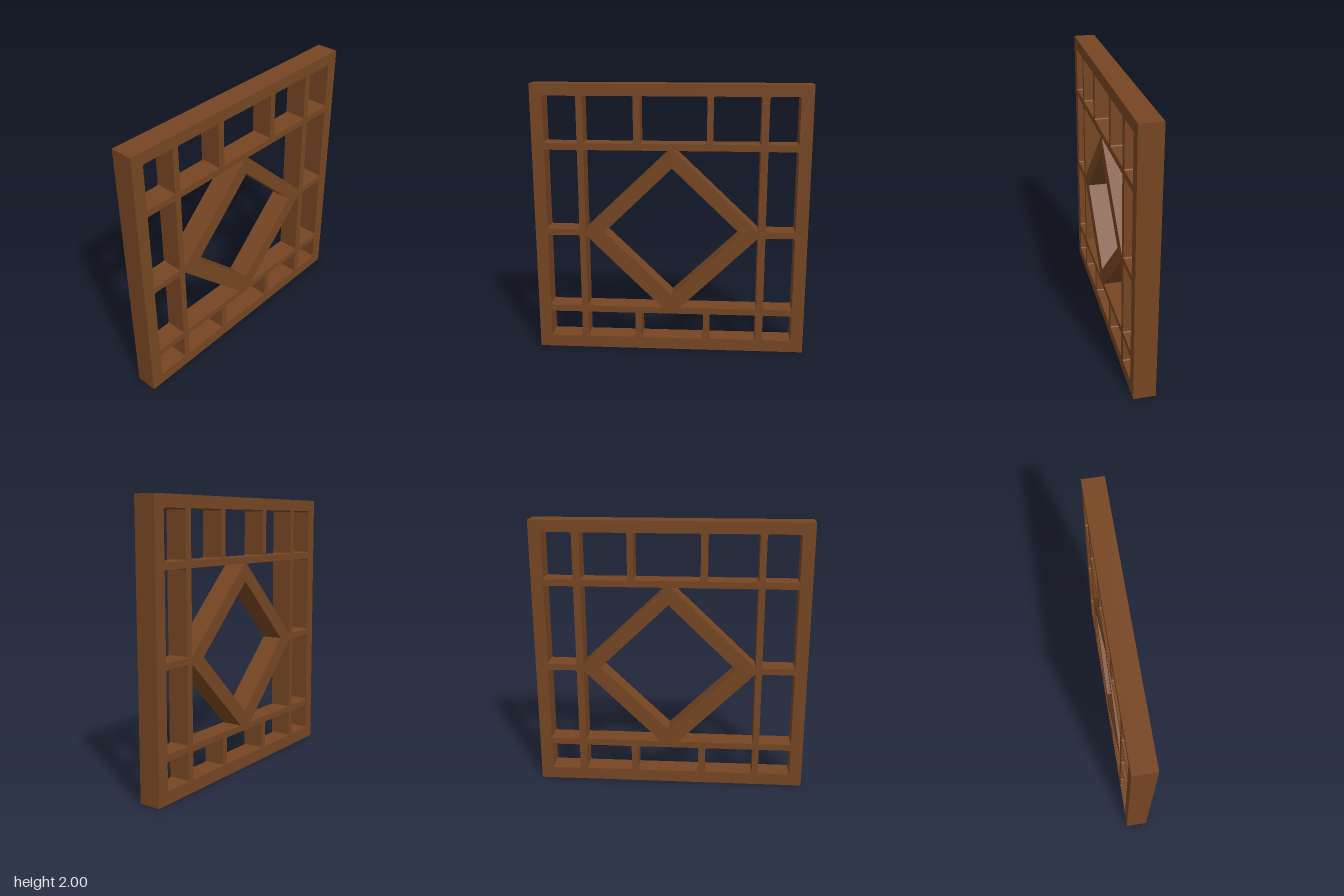
import * as THREE from 'three';

const DEPTH = 0.16;
const wood = new THREE.MeshStandardMaterial({ color: 0x764522 });

// Rectangular opening with slightly eased corners
function opening(x0, x1, y0, y1, r = 0.012) {
  const p = new THREE.Path();
  p.absarc(x0 + r, y0 + r, r, Math.PI * 1.5, Math.PI, true);
  p.absarc(x0 + r, y1 - r, r, Math.PI, Math.PI / 2, true);
  p.absarc(x1 - r, y1 - r, r, Math.PI / 2, 0, true);
  p.absarc(x1 - r, y0 + r, r, 0, -Math.PI / 2, true);
  p.closePath();
  return p;
}

const points = (list) => list.map(([x, y]) => new THREE.Vector2(x, y));

// Flat board cut from a shape, centred on z = 0
function board(name, shape) {
  const geometry = new THREE.ExtrudeGeometry(shape, { depth: DEPTH, bevelEnabled: false, curveSegments: 4 });
  geometry.translate(0, 0, -DEPTH / 2);
  const mesh = new THREE.Mesh(geometry, wood);
  mesh.name = name;
  return mesh;
}

export function createModel() {
  const group = new THREE.Group();
  group.name = 'latticeWindow';

  // Square border with the lattice bars left standing between the openings
  const panel = new THREE.Shape(points([[-1, 0], [1, 0], [1, 2], [-1, 2]]));
  const left = [-0.91, -0.672], right = [0.695, 0.91];
  const topRow = [left, [-0.625, -0.265], [-0.215, 0.26], [0.305, 0.642], right];
  const bottomRow = [left, [-0.625, -0.265], [-0.215, 0.247], [0.295, 0.642], right];
  for (const [a, b] of topRow) panel.holes.push(opening(a, b, 1.578, 1.915));
  for (const [a, b] of bottomRow) panel.holes.push(opening(a, b, 0.09, 0.289));
  for (const [a, b] of [left, right]) {
    panel.holes.push(opening(a, b, 0.94, 1.53));
    panel.holes.push(opening(a, b, 0.337, 0.893));
  }
  panel.holes.push(new THREE.Path(points([[-0.625, 0.337], [-0.625, 1.53], [0.642, 1.53], [0.642, 0.337]])));
  group.add(board('latticeFrame', panel));

  // Diamond frame, its tips trimmed flat where they meet the bars
  const diamond = new THREE.Shape(points([
    [-0.06, 0.337], [0.07, 0.337], [0.642, 0.892], [0.642, 0.942],
    [0.025, 1.53], [-0.005, 1.53], [-0.625, 0.938], [-0.625, 0.895],
  ]));
  diamond.holes.push(new THREE.Path(points([[0.012, 0.437], [-0.487, 0.92], [0.012, 1.403], [0.517, 0.92]])));
  group.add(board('diamondFrame', diamond));

  return group;
}
